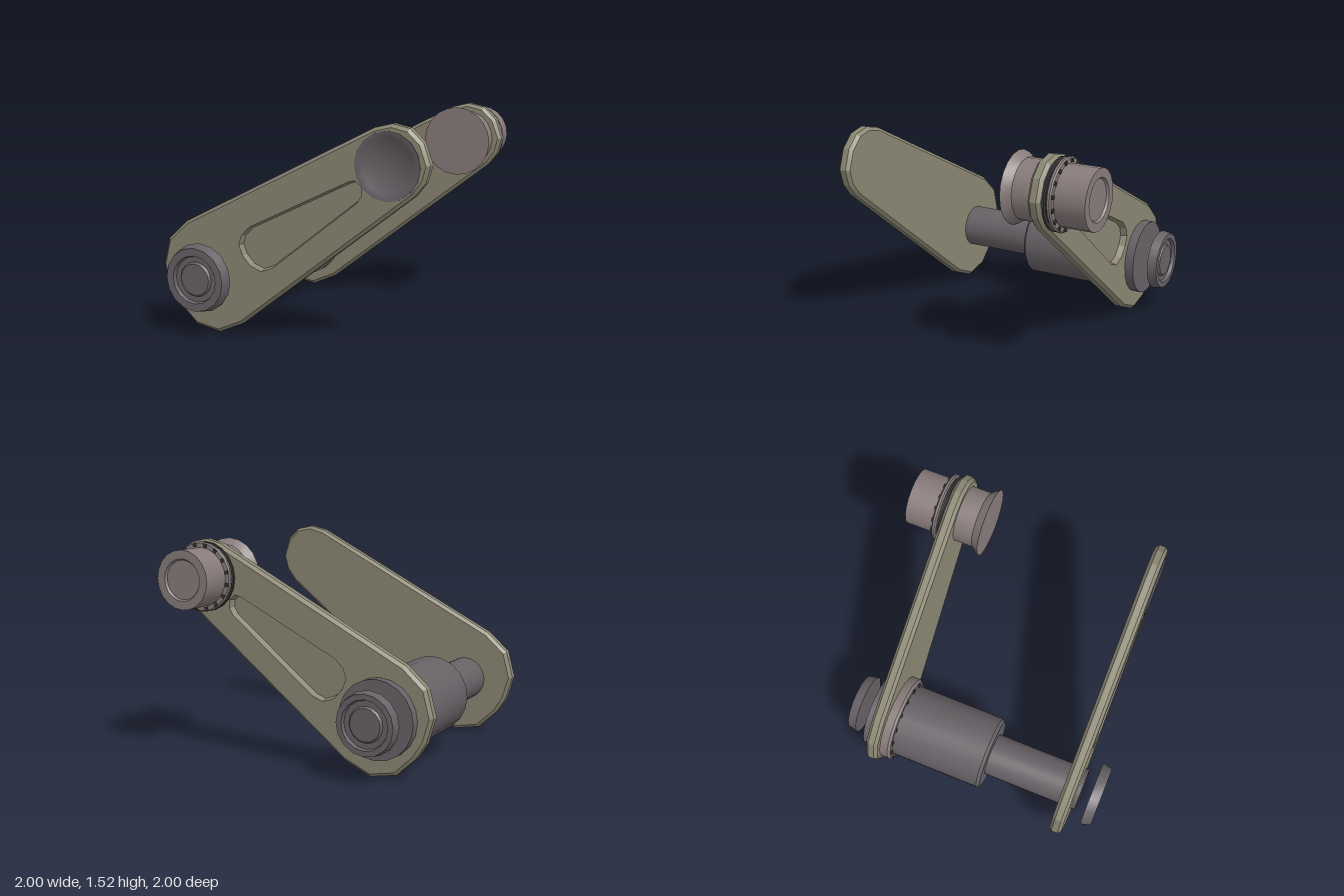
import * as THREE from 'three';
import { toCreasedNormals, mergeGeometries } from 'three/addons/utils/BufferGeometryUtils.js';

const paint = (c) => new THREE.MeshStandardMaterial({ color: c });
const V = (pts) => pts.map(([x, y]) => new THREE.Vector2(x, y));

// Arm outline and pocket outline, both counter-clockwise
const OUTLINE = V([[-1, 0.45], [-0.95, 0.28], [-0.88, 0.17], [-0.74, 0.04], [-0.55, 0.005],
  [-0.36, 0.09], [0.90, 1.08], [0.97, 1.17], [1, 1.28], [0.95, 1.42], [0.86, 1.505],
  [0.74, 1.53], [0.62, 1.5], [-0.80, 0.775], [-0.95, 0.64]]);
const POCKET = V([[-0.375, 0.65], [-0.345, 0.575], [-0.285, 0.51], [-0.2, 0.48], [-0.12, 0.51],
  [0.51, 1.01], [0.54, 1.06], [0.535, 1.12], [0.49, 1.155], [0.44, 1.14], [-0.29, 0.78], [-0.355, 0.715]]);

// Move a counter-clockwise loop inward by d
function inset(loop, d) {
  const n = loop.length;
  return loop.map((p, i) => {
    const a = p.clone().sub(loop[(i + n - 1) % n]).normalize();
    const b = loop[(i + 1) % n].clone().sub(p).normalize();
    const m = new THREE.Vector2(-a.y - b.y, a.x + b.x).normalize();
    return p.clone().addScaledVector(m, d / Math.max(0.5, m.dot(new THREE.Vector2(-a.y, a.x))));
  });
}

// Wall between successive [loop, z] rings; faces outward when z rises
function wall(rings) {
  const pos = [];
  for (let r = 0; r + 1 < rings.length; r++) {
    const [A, za] = rings[r], [B, zb] = rings[r + 1], n = A.length;
    for (let i = 0; i < n; i++) {
      const j = (i + 1) % n;
      const a = [A[i].x, A[i].y, za], b = [A[j].x, A[j].y, za];
      const c = [B[j].x, B[j].y, zb], d = [B[i].x, B[i].y, zb];
      pos.push(...a, ...b, ...c, ...a, ...c, ...d);
    }
  }
  return new THREE.BufferGeometry().setAttribute('position', new THREE.Float32BufferAttribute(pos, 3));
}

// Flat face at height z, turned over when down is true
function face(loop, z, holes = [], down = false) {
  const shape = new THREE.Shape(loop);
  holes.forEach((h) => shape.holes.push(new THREE.Path(h)));
  const g = new THREE.ShapeGeometry(shape).toNonIndexed();
  g.deleteAttribute('uv');
  g.deleteAttribute('normal');
  if (down) flip(g);
  return g.translate(0, 0, z);
}

function flip(g) {
  const a = g.attributes.position.array;
  for (let i = 0; i < a.length; i += 9) {
    for (let k = 0; k < 3; k++) [a[i + 3 + k], a[i + 6 + k]] = [a[i + 6 + k], a[i + 3 + k]];
  }
  return g;
}

// Bevelled arm with a pocket on its outer side; dir is +1 or -1 along z
function armGeometry(zInner, dir, holes) {
  const T = 0.09, e = 0.022, small = inset(OUTLINE, e), floor = inset(POCKET, 0.012);
  let g = mergeGeometries([
    wall([[small, 0], [OUTLINE, e], [OUTLINE, T - e], [small, T]]),
    face(small, 0, [], true),
    face(small, T, [POCKET, ...holes]),
    wall([[floor, T - 0.045], [POCKET, T]].reverse()),
    face(floor, T - 0.045),
  ]);
  if (dir < 0) g = flip(g.scale(1, 1, -1));
  return toCreasedNormals(g.translate(0, 0, zInner), 0.35);
}

// Turned part about z; the profile is [radius, z] with z rising along the outside
function turned(profile, seg = 16) {
  const g = new THREE.LatheGeometry(V(profile), seg).rotateX(Math.PI / 2);
  return toCreasedNormals(g, 0.5);
}

export function createModel() {
  const root = new THREE.Group();
  const olive = paint(0x8b8773), dark = paint(0x676166), mauve = paint(0x887b7b), black = paint(0x3c393b);
  const add = (name, geo, mat, x = 0, y = 0, z = 0) => {
    const m = new THREE.Mesh(geo, mat);
    m.name = name;
    m.position.set(x, y, z);
    root.add(m);
    return m;
  };
  const PX = -0.625, PY = 0.415, QX = 0.73, QY = 1.272, DX = 0.715, DY = 1.26;

  // Arms
  const dishHole = Array.from({ length: 16 }, (_, i) => new THREE.Vector2(
    DX + 0.22 * Math.sin(-i * Math.PI / 8), DY + 0.22 * Math.cos(i * Math.PI / 8)));
  add('frontArm', armGeometry(0.73, 1, [dishHole]), olive);
  add('backArm', armGeometry(-0.63, -1, []), olive);

  // Concave dish set in the end of the front arm
  const bowl = [];
  for (let i = 0; i <= 6; i++) {
    const r = 0.218 * (1 - i / 6);
    bowl.push([r, 0.826 - 0.055 * (1 - (r / 0.218) ** 2)]);
  }
  add('dish', turned([[0.226, 0.812], [0.226, 0.826], ...bowl]), dark, DX, DY);

  // Lower pivot: thin shaft, thick barrel and collar
  add('shaft', turned([[0, 0.1], [0.157, 0.1], [0.157, 0.85], [0, 0.85]], 24), dark, PX, PY);
  add('barrel', turned([[0, -0.785], [0.272, -0.785], [0.272, 0.118], [0.25, 0.14], [0, 0.14]], 20), dark, PX, PY);
  add('barrelCollar', turned([[0.27, -0.635], [0.32, -0.635], [0.32, -0.57], [0.305, -0.552], [0.27, -0.552]], 20), mauve, PX, PY);

  // Separate end caps with a stepped ring on the outer face
  const cap = (r0, r1, h) => turned([[0, 0], [r0, 0], [r1, h], [0.168, h], [0.16, h - 0.025],
    [0.122, h - 0.025], [0.11, h - 0.01], [0, h - 0.01]]);
  add('frontCap', cap(0.242, 0.222, 0.075), dark, PX, PY, 0.925);
  add('backCap', cap(0.218, 0.206, 0.067), dark, PX, PY, -0.873).rotation.y = Math.PI;

  // Upper pin through the back arm, flared inside and recessed outside
  add('upperPin', turned([[0, -0.985], [0.135, -0.985], [0.145, -1], [0.205, -1], [0.205, -0.49],
    [0.247, -0.43], [0, -0.43]], 20), mauve, QX, QY);
  add('pinSeal', turned([[0.2, -0.752], [0.225, -0.752], [0.225, -0.74], [0.243, -0.737],
    [0.243, -0.725], [0.225, -0.715], [0.2, -0.715]], 20), black, QX, QY);
  add('pinCollar', turned([[0.2, -0.785], [0.235, -0.785], [0.245, -0.776], [0.245, -0.76],
    [0.235, -0.751], [0.2, -0.751]], 20), mauve, QX, QY);

  // Rings of small studs on both collars
  const studs = (name, x, y, z, r) => {
    const group = new THREE.Group();
    group.name = name;
    const geo = new THREE.BoxGeometry(0.024, 0.024, 0.024);
    for (let i = 0; i < 16; i++) {
      const a = (i + 0.5) * Math.PI / 8;
      const m = new THREE.Mesh(geo, black);
      m.name = 'stud';
      m.position.set(r * Math.cos(a), r * Math.sin(a), 0);
      m.rotation.z = a;
      group.add(m);
    }
    group.position.set(x, y, z);
    root.add(group);
  };
  studs('barrelStuds', PX, PY, -0.553, 0.288);
  studs('pinStuds', QX, QY, -0.782, 0.222);
  return root;
}
